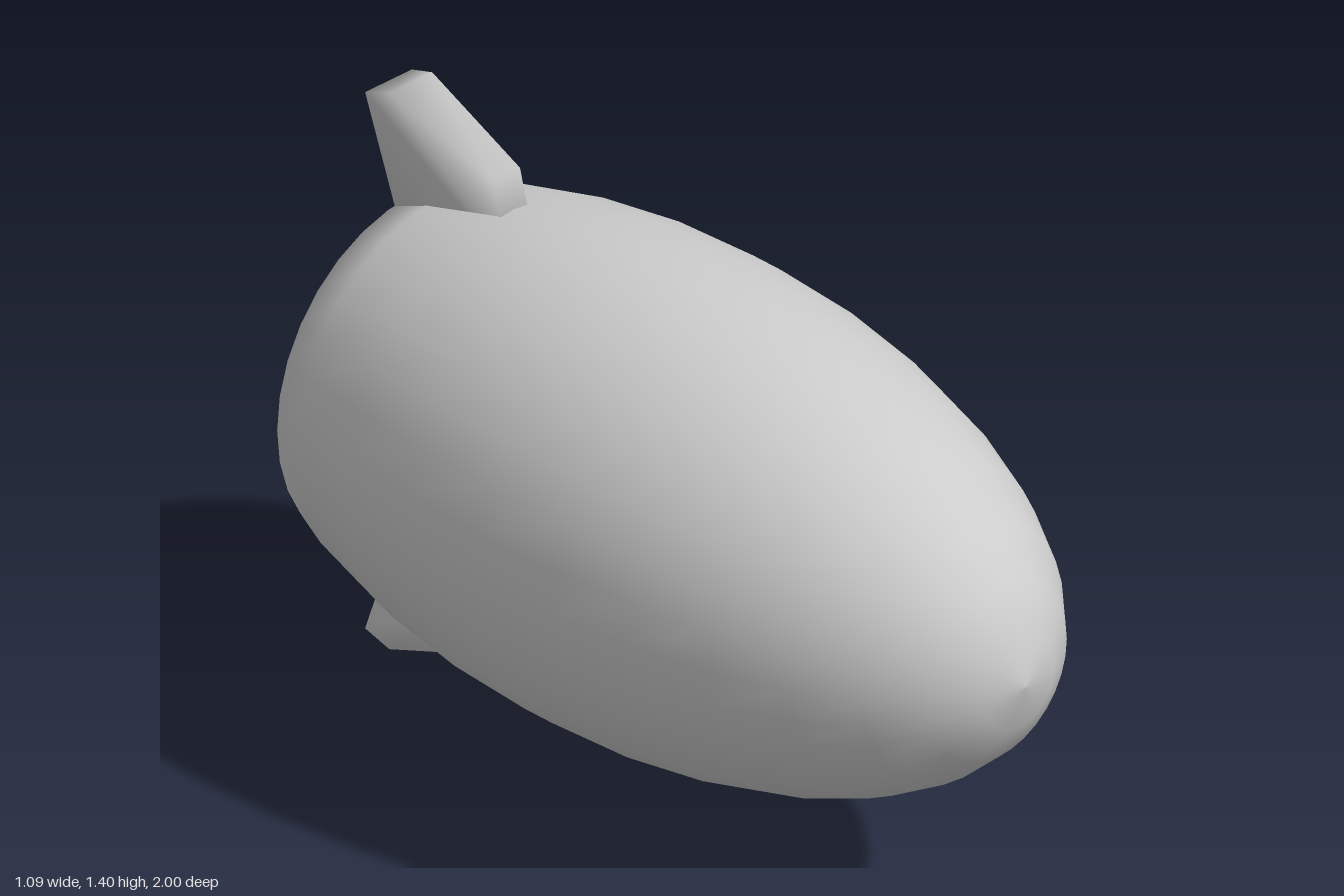
import * as THREE from 'three';
import { mergeVertices } from 'three/addons/utils/BufferGeometryUtils.js';

const AXIS_Y = 0.705; // height of the long axis
const material = new THREE.MeshStandardMaterial({ color: 0xcccccc });

// Ellipsoid along z, cut off flat at the tail
function hullGeometry() {
  const length = 1.17, radius = 0.56, centre = -0.17;
  const profile = [new THREE.Vector2(0, -0.915), new THREE.Vector2(0.428, -0.915)];
  for (let i = 11; i >= 0; i--) {
    const a = (i / 16) * Math.PI;
    profile.push(new THREE.Vector2(radius * Math.sin(a), centre + length * Math.cos(a)));
  }
  const geo = new THREE.LatheGeometry(profile, 32);
  geo.rotateX(Math.PI / 2);
  geo.scale(0.97, 1, 1);
  return geo;
}

// Swept fin, narrow at the leading edge and thick at the trailing edge
function finGeometry() {
  const outline = [
    [-0.57, 0.395], [-0.63, 0.597], [-0.93, 0.7], [-1.0, 0.675], [-0.893, 0.36],
  ].map(([z, y]) => new THREE.Vector2(z, y));
  let geo = new THREE.ExtrudeGeometry(new THREE.Shape(outline), { depth: 2, bevelEnabled: false });
  geo.translate(0, 0, -1);
  geo.rotateY(-Math.PI / 2);
  const p = geo.attributes.position;
  for (let i = 0; i < p.count; i++) {
    const half = THREE.MathUtils.mapLinear(p.getZ(i), -0.63, -1, 0.041, 0.07);
    p.setX(i, Math.sign(p.getX(i)) * half);
  }
  geo.deleteAttribute('uv');
  geo.deleteAttribute('normal');
  geo = mergeVertices(geo);
  geo.computeVertexNormals();
  return geo;
}

export function createModel() {
  const model = new THREE.Group();
  model.name = 'finnedHull';

  const hull = new THREE.Mesh(hullGeometry(), material);
  hull.name = 'hull';
  hull.position.y = AXIS_Y;
  model.add(hull);

  // Upper fin and its copy turned half way round the long axis
  const geo = finGeometry();
  ['upperFin', 'lowerFin'].forEach((name, i) => {
    const fin = new THREE.Mesh(geo, material);
    fin.name = name;
    fin.position.y = AXIS_Y;
    fin.rotation.z = i * Math.PI;
    model.add(fin);
  });
  return model;
}
